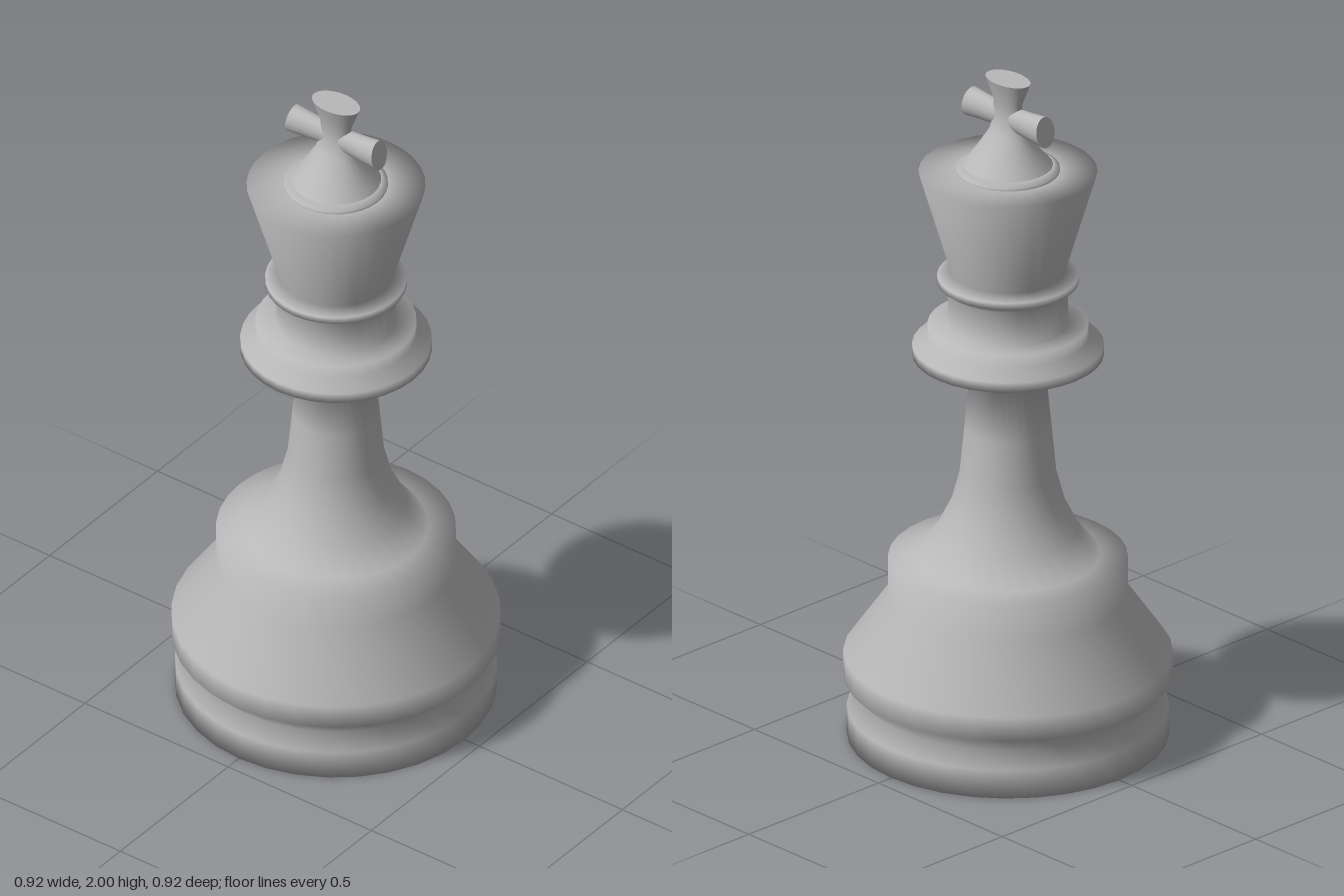
import * as THREE from 'three';
import { mergeVertices } from 'three/addons/utils/BufferGeometryUtils.js';

// Turned form with elliptical sections: points are [radius, height, depth ratio]
function ellipticalLathe(points, segments) {
  const geo = new THREE.LatheGeometry(points.map(([r, y]) => new THREE.Vector2(r, y)), segments);
  const pos = geo.attributes.position;
  for (let i = 0; i < pos.count; i++) pos.setZ(i, pos.getZ(i) * points[i % points.length][2]);
  return geo;
}

// Weld the seam and shade smoothly
function smooth(geo) {
  geo.deleteAttribute('uv');
  geo.deleteAttribute('normal');
  const welded = mergeVertices(geo, 1e-5);
  welded.computeVertexNormals();
  return welded;
}

export function createModel() {
  const group = new THREE.Group();
  const grey = new THREE.MeshStandardMaterial({ color: 0xb8b8b8 });
  grey.name = 'grey';

  const add = (name, geo) => {
    const mesh = new THREE.Mesh(geo, grey);
    mesh.name = name;
    group.add(mesh);
    return mesh;
  };
  const turned = (name, pts) =>
    add(name, new THREE.LatheGeometry(pts.map(([r, y]) => new THREE.Vector2(r, y)), 32));

  // Body: foot, waist, column, collar and crown in one smooth turning
  turned('body', [
    [0, 0], [0.45, 0], [0.45, 0.085], [0.412, 0.13], [0.46, 0.18], [0.46, 0.25],
    [0.335, 0.43], [0.335, 0.54], [0.26, 0.548],
    [0.2, 0.625], [0.16, 0.705], [0.135, 0.8], [0.122, 0.94], [0.106, 1.1],
    [0.268, 1.16], [0.268, 1.19], [0.225, 1.215], [0.225, 1.253],
    [0.168, 1.256], [0.168, 1.36], [0.198, 1.382], [0.198, 1.402], [0.16, 1.415],
    [0.25, 1.72], [0.14, 1.721], [0, 1.721],
  ]);

  // Finial ring on the crown
  turned('finialRing', [[0.145, 1.718], [0.145, 1.73], [0.127, 1.74], [0, 1.74]]);

  // Cross stem: round at the foot, oval at the flared top
  add('crossStem', smooth(ellipticalLathe([
    [0.13, 1.735, 1], [0.085, 1.785, 1.12], [0.04, 1.84, 1.55], [0.031, 1.885, 1.65],
    [0.027, 1.93, 1.85], [0.047, 2, 1.64],
  ], 24)));
  const top = add('crossTop', new THREE.CircleGeometry(0.047, 24).rotateX(-Math.PI / 2));
  top.scale.z = 1.64;
  top.position.y = 2;

  // Cross arms: flared, with slanted ends, mirrored front and back
  const armPoints = [[0.026, 0, 1.3], [0.028, 0.05, 1.3], [0.031, 0.1, 1.29], [0.035, 0.151, 1.29]];
  const slant = (geo) => {
    const pos = geo.attributes.position;
    for (let i = 0; i < pos.count; i++) {
      pos.setY(i, pos.getY(i) + 0.15 * pos.getZ(i) * (pos.getY(i) / 0.151));
    }
    return geo.rotateX(Math.PI / 2);
  };
  for (const [side, turn] of [['front', 0], ['back', Math.PI]]) {
    const arm = add(side + 'CrossArm', smooth(slant(ellipticalLathe(armPoints, 20))));
    const end = add(side + 'CrossArmEnd', smooth(slant(
      ellipticalLathe([[0.035, 0.151, 1.29], [0, 0.151, 1]], 20))));
    for (const part of [arm, end]) {
      part.position.y = 1.885;
      part.rotation.y = turn;
    }
  }
  return group;
}
